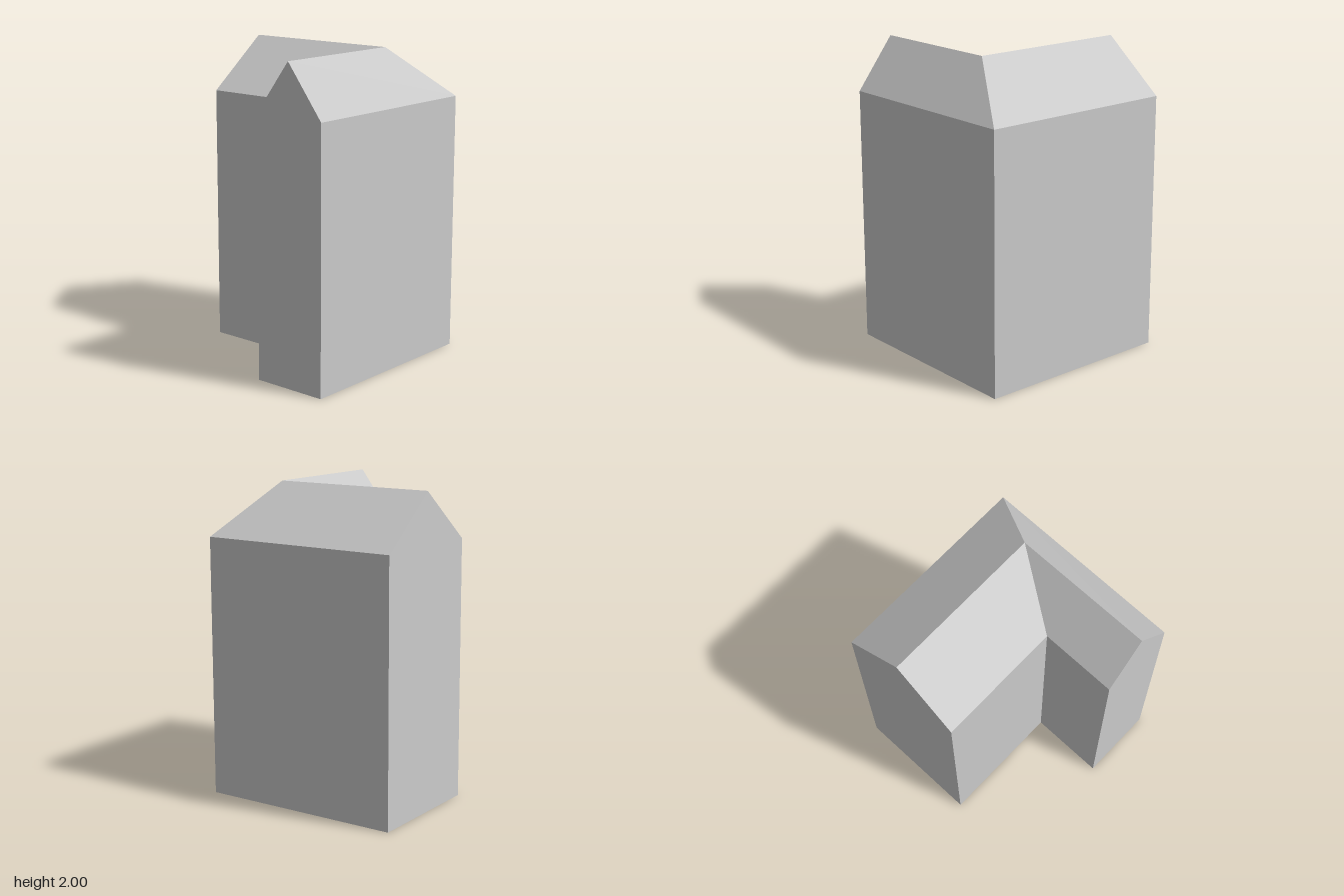
import * as THREE from 'three';

const EAVE = 1.67, RIDGE = 2;

// Gabled cross-sections along the L-shaped plan; each point is [x, z]
const stations = [
  { outer: [-0.665, -0.665], ridge: [-0.665, -0.25], inner: [-0.665, 0.165] }, // side gable
  { outer: [0.665, -0.665], ridge: [0.41, -0.25], inner: [0.165, 0.165] },     // mitred corner
  { outer: [0.665, 0.665], ridge: [0.413, 0.665], inner: [0.165, 0.665] },     // front gable
];

// Five-point house profile: wall, eave, ridge, eave, wall
function section({ outer, ridge, inner }) {
  const at = ([x, z], y) => [x, y, z];
  return [at(outer, 0), at(outer, EAVE), at(ridge, RIDGE), at(inner, EAVE), at(inner, 0)];
}

function buildGeometry(loops) {
  const positions = [];
  const polygon = (pts) => {
    for (let i = 1; i < pts.length - 1; i++) positions.push(...pts[0], ...pts[i], ...pts[i + 1]);
  };

  // Walls, roof slopes and underside
  for (let s = 0; s < loops.length - 1; s++) {
    const a = loops[s], b = loops[s + 1];
    for (let i = 0; i < a.length; i++) {
      const j = (i + 1) % a.length;
      polygon([a[i], a[j], b[j], b[i]]);
    }
  }

  // Gable ends
  polygon([...loops[0]].reverse());
  polygon(loops[loops.length - 1]);

  const geometry = new THREE.BufferGeometry();
  geometry.setAttribute('position', new THREE.Float32BufferAttribute(positions, 3));
  geometry.computeVertexNormals();
  return geometry;
}

export function createModel() {
  const group = new THREE.Group();
  group.name = 'house';
  const material = new THREE.MeshStandardMaterial({ color: 0xcccccc, flatShading: true });
  const building = new THREE.Mesh(buildGeometry(stations.map(section)), material);
  building.name = 'lShapedBuilding';
  group.add(building);
  return group;
}
